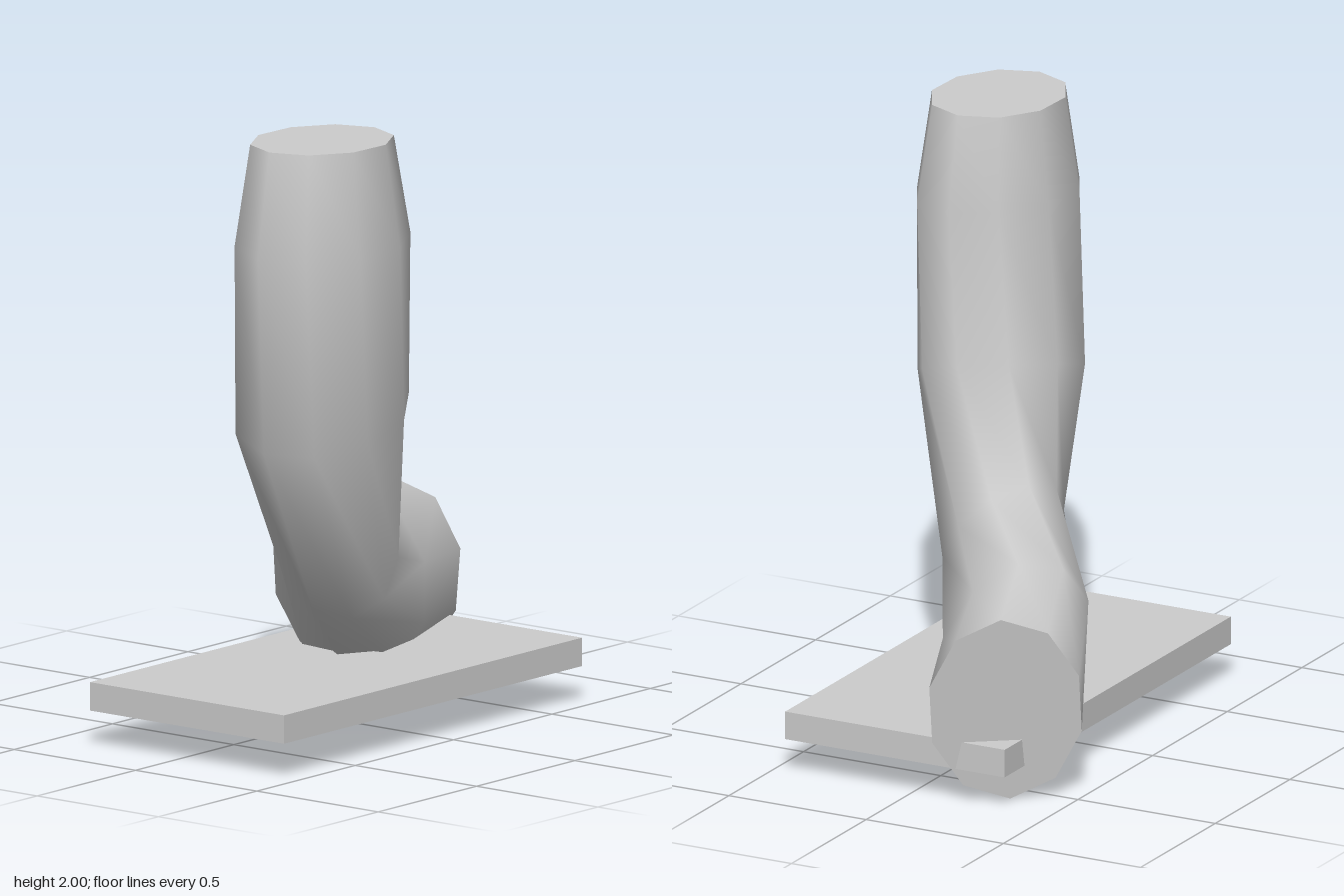
import * as THREE from 'three';

const SIDES = 10;

// Cross-sections of the bent tube: centre, half-axis towards the inside of the bend, sideways half-axis
const SECTIONS = [
  [[-0.385, 2.0, 0.27], [0.255, 0, 0.01], [-0.008, 0, 0.212]],
  [[-0.385, 1.675, 0.272], [0.316, 0.015, 0.01], [-0.01, -0.015, 0.258]],
  [[-0.347, 1.095, 0.24], [0.297, 0.085, 0], [0.03, -0.04, 0.252]],
  [[-0.12, 0.62, 0.11], [0.19, 0.18, -0.06], [0.09, -0.12, 0.17]],
  [[0.265, 0.4, -0.14], [0.08, 0.3, -0.06], [0.16, -0.05, 0.192]],
  [[0.645, 0.32, -0.315], [0.05, 0.318, -0.01], [0.15, -0.01, 0.205]],
];

function ringPoints([c, a, b]) {
  return Array.from({ length: SIDES }, (_, k) => {
    const t = (k / SIDES) * Math.PI * 2;
    return c.map((v, i) => v + a[i] * Math.cos(t) + b[i] * Math.sin(t));
  });
}

function geometryFrom(points, index) {
  const g = new THREE.BufferGeometry();
  g.setAttribute('position', new THREE.Float32BufferAttribute(points.flat(), 3));
  g.setIndex(index);
  g.computeVertexNormals();
  return g;
}

// Smooth wall through all the sections
function wallGeometry() {
  const index = [];
  for (let i = 0; i < SECTIONS.length - 1; i++) {
    for (let k = 0; k < SIDES; k++) {
      const n = (k + 1) % SIDES;
      const p = i * SIDES + k, q = i * SIDES + n;
      index.push(p, q, p + SIDES, q, q + SIDES, p + SIDES);
    }
  }
  return geometryFrom(SECTIONS.flatMap(ringPoints), index);
}

// Flat end face
function capGeometry(section, atStart) {
  const index = [];
  for (let k = 1; k < SIDES - 1; k++) {
    index.push(0, ...(atStart ? [k + 1, k] : [k, k + 1]));
  }
  return geometryFrom(ringPoints(section), index);
}

export function createModel() {
  const grey = new THREE.MeshStandardMaterial({ color: 0xcccccc });
  grey.name = 'light grey';

  const model = new THREE.Group();
  model.name = 'bentTubeOnPlate';
  const add = (name, geometry, parent = model) => {
    const mesh = new THREE.Mesh(geometry, grey);
    mesh.name = name;
    parent.add(mesh);
    return mesh;
  };

  // Base plate, partly pierced by the tube
  add('basePlate', new THREE.BoxGeometry(1.515, 0.093, 0.8)).position.set(-0.0425, 0.163, 0.05);

  // Bent tube
  const tube = new THREE.Group();
  tube.name = 'bentTube';
  model.add(tube);
  add('tubeWall', wallGeometry(), tube);
  add('topCap', capGeometry(SECTIONS[0], true), tube);
  add('endCap', capGeometry(SECTIONS[SECTIONS.length - 1], false), tube);

  return model;
}
